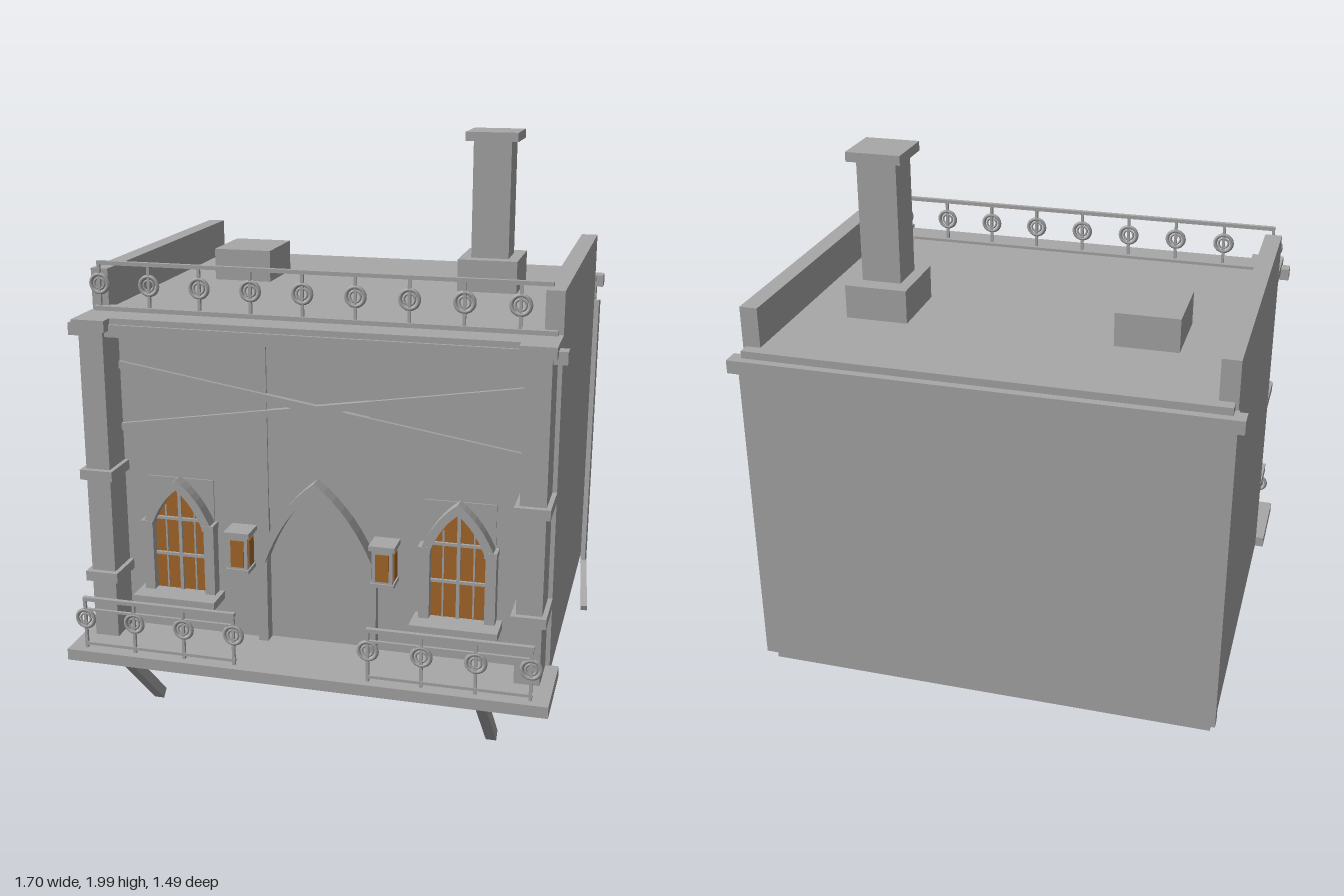
import * as THREE from 'three';

export function createModel() {
  const root = new THREE.Group();
  const stone = new THREE.MeshStandardMaterial({ color: 0xa8a8a8 });
  stone.name = 'grey stone';
  const amber = new THREE.MeshStandardMaterial({ color: 0xa8682a });
  amber.name = 'amber glass';
  const CX = -0.03; // centre line of the building

  const add = (name, geo, parent = root, mat = stone) => {
    const m = new THREE.Mesh(geo, mat);
    m.name = name;
    parent.add(m);
    return m;
  };
  // box given by its limits on each axis
  const box = (name, x0, x1, y0, y1, z0, z1, parent = root, mat = stone) => {
    const m = add(name, new THREE.BoxGeometry(x1 - x0, y1 - y0, z1 - z0), parent, mat);
    m.position.set((x0 + x1) / 2, (y0 + y1) / 2, (z0 + z1) / 2);
    return m;
  };
  // square bar between two points
  const bar = (name, a, b, w, d, parent = root) => {
    const p = new THREE.Vector3(...a), q = new THREE.Vector3(...b);
    const m = add(name, new THREE.BoxGeometry(w, d, p.distanceTo(q)), parent);
    m.position.copy(p).add(q).multiplyScalar(0.5);
    m.lookAt(q);
    return m;
  };
  const group = (name, x = 0, y = 0, z = 0) => {
    const g = new THREE.Group();
    g.name = name;
    g.position.set(x, y, z);
    root.add(g);
    return g;
  };
  // pointed arch outlines
  const archCurve = (s, w, y, peak) => {
    const cy = y + (peak - y) * 0.66;
    s.quadraticCurveTo(-w * 0.64, cy, 0, peak);
    s.quadraticCurveTo(w * 0.64, cy, w, y);
  };
  const archBand = (w, peak, wi, peakIn, y, depth) => {
    const s = new THREE.Shape();
    s.moveTo(-w, y);
    archCurve(s, w, y, peak);
    s.lineTo(wi, y);
    s.quadraticCurveTo(wi * 0.64, y + (peakIn - y) * 0.66, 0, peakIn);
    s.quadraticCurveTo(-wi * 0.64, y + (peakIn - y) * 0.66, -wi, y);
    s.closePath();
    return new THREE.ExtrudeGeometry(s, { depth, bevelEnabled: false, curveSegments: 8 });
  };

  // main block, base and back
  box('mainBlock', -0.815, 0.755, 0.27, 1.44, -0.68, 0.46);
  box('baseSlab', -0.81, 0.75, 0.22, 0.27, -0.68, 0.46);
  box('backWall', -0.83, 0.77, 0.27, 1.415, -0.72, -0.68);
  box('backTrim', -0.855, 0.795, 1.37, 1.415, -0.748, -0.69);
  box('roofBackEdge', -0.815, 0.755, 1.415, 1.44, -0.72, -0.68);
  for (const s of [-1, 1]) {
    const x = CX + s * 0.765;
    box('sideWall', x - 0.03, x + 0.03, 0.27, 1.575, -0.68, 0.46);
  }

  // front wall with doorway
  box('leftBay', 0.148, 0.665, 0.3, 1.4, 0.45, 0.485);
  box('rightBay', -0.725, -0.205, 0.3, 1.4, 0.45, 0.485);
  box('centreBay', -0.205, 0.148, 0.78, 1.4, 0.45, 0.478);
  box('door', -0.205, 0.148, 0.3, 0.78, 0.45, 0.47);
  for (const s of [-1, 1]) {
    const x = CX + s * 0.192;
    box('doorJamb', x - 0.017, x + 0.017, 0.3, 0.6, 0.465, 0.515);
  }
  const doorArch = add('doorArch', archBand(0.212, 0.9, 0.176, 0.865, 0.6, 0.06));
  doorArch.position.set(CX, 0, 0.475);

  // crossed braces
  for (const s of [-1, 1])
    bar('crossBrace', [CX - 0.695, 1.145 + s * 0.11, 0.488], [CX + 0.695, 1.145 - s * 0.11, 0.488], 0.02, 0.026);

  // platform, beam and cornice
  box('platform', -0.855, 0.795, 0.26, 0.3, 0.455, 0.745);
  box('frontBeam', -0.855, 0.795, 1.373, 1.415, 0.547, 0.595);
  box('cornice', -0.81, 0.75, 1.41, 1.45, 0.445, 0.48);
  box('beamSoffit', -0.725, 0.665, 1.415, 1.435, 0.46, 0.585);

  // pillars with bands
  for (const s of [-1, 1]) {
    const x = CX + s * 0.7375;
    const pillar = group(s > 0 ? 'leftPillar' : 'rightPillar', x);
    box('shaft', -0.0425, 0.0425, 0.3, 1.41, 0.455, 0.61, pillar);
    box('foot', -0.045, 0.045, 0.23, 0.26, 0.46, 0.61, pillar);
    for (const [y0, y1] of [[0.51, 0.545], [0.88, 0.915], [1.395, 1.435]])
      box('band', -0.058, 0.058, y0, y1, 0.455, 0.63, pillar);
  }

  // arched windows
  for (const x of [-0.52, 0.457]) {
    const win = group('window', x, 0, 0.485);
    const glass = new THREE.Shape();
    glass.moveTo(-0.093, 0.455);
    glass.lineTo(-0.093, 0.7);
    archCurve(glass, 0.093, 0.7, 0.835);
    glass.lineTo(0.093, 0.455);
    glass.closePath();
    const pane = add('glass', new THREE.ExtrudeGeometry(glass, { depth: 0.009, bevelEnabled: false, curveSegments: 8 }), win, amber);
    pane.position.z = 0.005;
    box('backing', -0.12, 0.12, 0.455, 0.865, -0.02, 0.005, win);
    const arch = add('arch', archBand(0.126, 0.872, 0.092, 0.835, 0.7, 0.05), win);
    arch.position.z = 0.003;
    for (const s of [-1, 1]) {
      box('jamb', s * 0.111 - 0.018, s * 0.111 + 0.018, 0.455, 0.7, 0, 0.045, win);
      box('jambCap', s * 0.111 - 0.021, s * 0.111 + 0.021, 0.695, 0.715, 0, 0.055, win);
    }
    box('sill', -0.148, 0.148, 0.43, 0.458, -0.01, 0.11, win);
    box('muntin', -0.006, 0.006, 0.455, 0.835, 0.01, 0.024, win);
    for (const y of [0.588, 0.72]) box('muntin', -0.093, 0.093, y - 0.005, y + 0.005, 0.01, 0.024, win);
    for (const s of [-1, 1]) box('thinMuntin', s * 0.052 - 0.003, s * 0.052 + 0.003, 0.455, 0.765, 0.01, 0.02, win);
  }

  // wall lanterns beside the door
  for (const s of [-1, 1]) {
    const lamp = group('lantern', CX + s * 0.25);
    box('body', -0.035, 0.035, 0.595, 0.715, 0.53, 0.6, lamp);
    box('cap', -0.044, 0.044, 0.713, 0.73, 0.52, 0.61, lamp);
    box('bottom', -0.04, 0.04, 0.583, 0.597, 0.525, 0.605, lamp);
    box('bracket', -0.012, 0.012, 0.61, 0.69, 0.47, 0.53, lamp);
    box('frontPane', -0.023, 0.023, 0.605, 0.7, 0.598, 0.604, lamp, amber);
    for (const t of [-1, 1]) box('sidePane', t * 0.036 - 0.003, t * 0.036 + 0.003, 0.605, 0.7, 0.542, 0.588, lamp, amber);
  }

  // railings with ring ornaments
  const railing = (name, x0, n, y0, height, z, end, lower) => {
    const g = group(name, x0, y0, z);
    box('topRail', -0.005, end, height - 0.013, height, -0.008, 0.008, g);
    if (lower) box('lowerRail', -0.005, end, 0.012, 0.022, -0.006, 0.006, g);
    if (lower) box('middleRail', -0.005, end, 0.138, 0.146, -0.005, 0.005, g);
    const ringY = lower ? 0.108 : 0.08;
    for (let i = 0; i < n; i++) {
      const x = i * 0.1778;
      box('post', x - 0.005, x + 0.005, 0, height, -0.005, 0.005, g);
      for (const [r, t] of [[0.031, 0.007], [0.018, 0.004]]) {
        const ring = add('ring', new THREE.TorusGeometry(r, t, 6, 20), g);
        ring.position.set(x, ringY, 0);
      }
    }
  };
  railing('rightRailing', -0.795, 4, 0.3, 0.188, 0.712, 0.54, true);
  railing('leftRailing', 0.2, 4, 0.3, 0.188, 0.712, 0.54, true);
  railing('roofRailing', -0.793, 9, 1.445, 0.158, 0.466, 1.523, false);

  // chimney and empty chimney base
  for (const x of [-0.49, 0.427]) box('chimneyBase', x - 0.107, x + 0.107, 1.43, 1.555, -0.37, -0.12);
  box('chimneyShaft', 0.36, 0.495, 1.55, 1.97, -0.307, -0.17);
  box('chimneyCap', 0.334, 0.52, 1.968, 2, -0.335, -0.148);

  // struts below the platform
  for (const x of [-0.64, 0.578]) bar('strut', [x, 0.28, 0.725], [x, 0.018, 0.465], 0.036, 0.036);

  // drainpipe on the left side
  const pipe = group('drainpipe');
  bar('upperPipe', [0.81, 1.41, -0.237], [0.806, 0.395, -0.238], 0.016, 0.018, pipe);
  bar('spout', [0.806, 0.4, -0.243], [0.836, 0.322, 0.018], 0.022, 0.02, pipe);

  return root;
}
